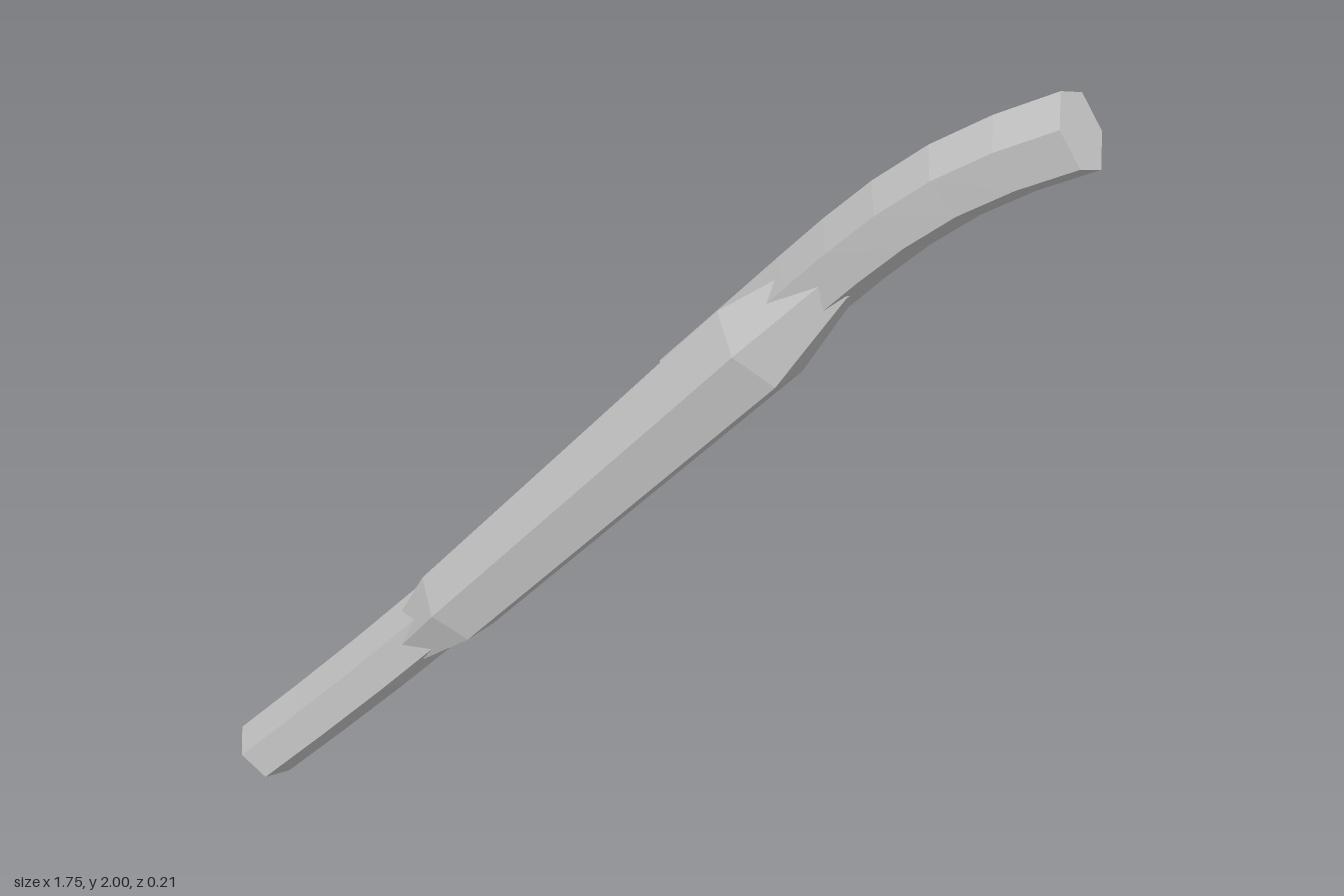
import * as THREE from 'three';

const SIDES = 6;

// Faceted bar swept through stations [x, y, z, radius], closed at both ends.
function loft(stations, turn = 0) {
  const centres = stations.map(([x, y, z]) => new THREE.Vector3(x, y, z));
  const last = centres.length - 1;
  const rings = centres.map((c, i) => {
    const before = centres[Math.max(i - 1, 0)];
    const after = centres[Math.min(i + 1, last)];
    const t = after.clone().sub(before).normalize();
    const n = new THREE.Vector3(-t.y, t.x, 0).normalize();
    const b = t.clone().cross(n);
    return Array.from({ length: SIDES }, (_, j) => {
      const a = turn + (j / SIDES) * Math.PI * 2;
      const r = stations[i][3];
      return c.clone().addScaledVector(n, Math.cos(a) * r).addScaledVector(b, Math.sin(a) * r);
    });
  });

  const points = [];
  for (let j = 0; j < SIDES; j++) {
    const k = (j + 1) % SIDES;
    for (let i = 0; i < last; i++) {
      const [p, q] = [rings[i], rings[i + 1]];
      points.push(p[j], p[k], q[k], p[j], q[k], q[j]);
    }
    points.push(centres[0], rings[0][k], rings[0][j]);
    points.push(centres[last], rings[last][j], rings[last][k]);
  }
  const geometry = new THREE.BufferGeometry().setFromPoints(points);
  geometry.computeVertexNormals();
  return geometry;
}

// Stations at a constant radius along a smooth curve.
function curveStations(points, radius, segments) {
  const curve = new THREE.CatmullRomCurve3(points.map((p) => new THREE.Vector3(...p)));
  return curve.getSpacedPoints(segments).map((p) => [p.x, p.y, p.z, radius]);
}

// Station on the straight axis of the thick bar, at distance s along it.
function onAxis(s, z, radius) {
  return [0.627 * s - 0.779 * 0.645, 0.779 * s + 0.627 * 0.645, z, radius];
}

export function createModel() {
  const group = new THREE.Group();
  group.name = 'bentBar';
  const grey = new THREE.MeshStandardMaterial({ color: 0xc6c6c6 });
  grey.name = 'grey';

  const add = (name, geometry) => {
    const mesh = new THREE.Mesh(geometry, grey);
    mesh.name = name;
    group.add(mesh);
  };

  // Thick middle with tapered ends, turned a little about its axis
  add('middleSleeve', loft([
    onAxis(0.06, 0.004, 0.048),
    onAxis(0.258, 0.005, 0.092),
    onAxis(1.265, 0.007, 0.1016),
    onAxis(1.49, 0.007, 0.052),
  ], THREE.MathUtils.degToRad(13)));

  // Lower rod, running into the back of the sleeve
  add('lowerRod', loft(curveStations([
    [-0.825, 0.056, 0.02],
    [-0.61, 0.295, 0.007],
    [-0.4, 0.538, -0.006],
    [-0.255, 0.715, -0.019],
    [-0.124, 0.89, -0.029],
  ], 0.073, 5)));

  // Upper rod, bending outwards to its free end
  add('upperRod', loft(curveStations([
    [0.14, 1.222, -0.041],
    [0.262, 1.375, -0.027],
    [0.372, 1.515, -0.012],
    [0.53, 1.705, 0.008],
    [0.672, 1.836, 0.021],
    [0.834, 1.941, 0.035],
  ], 0.077, 8)));

  return group;
}
